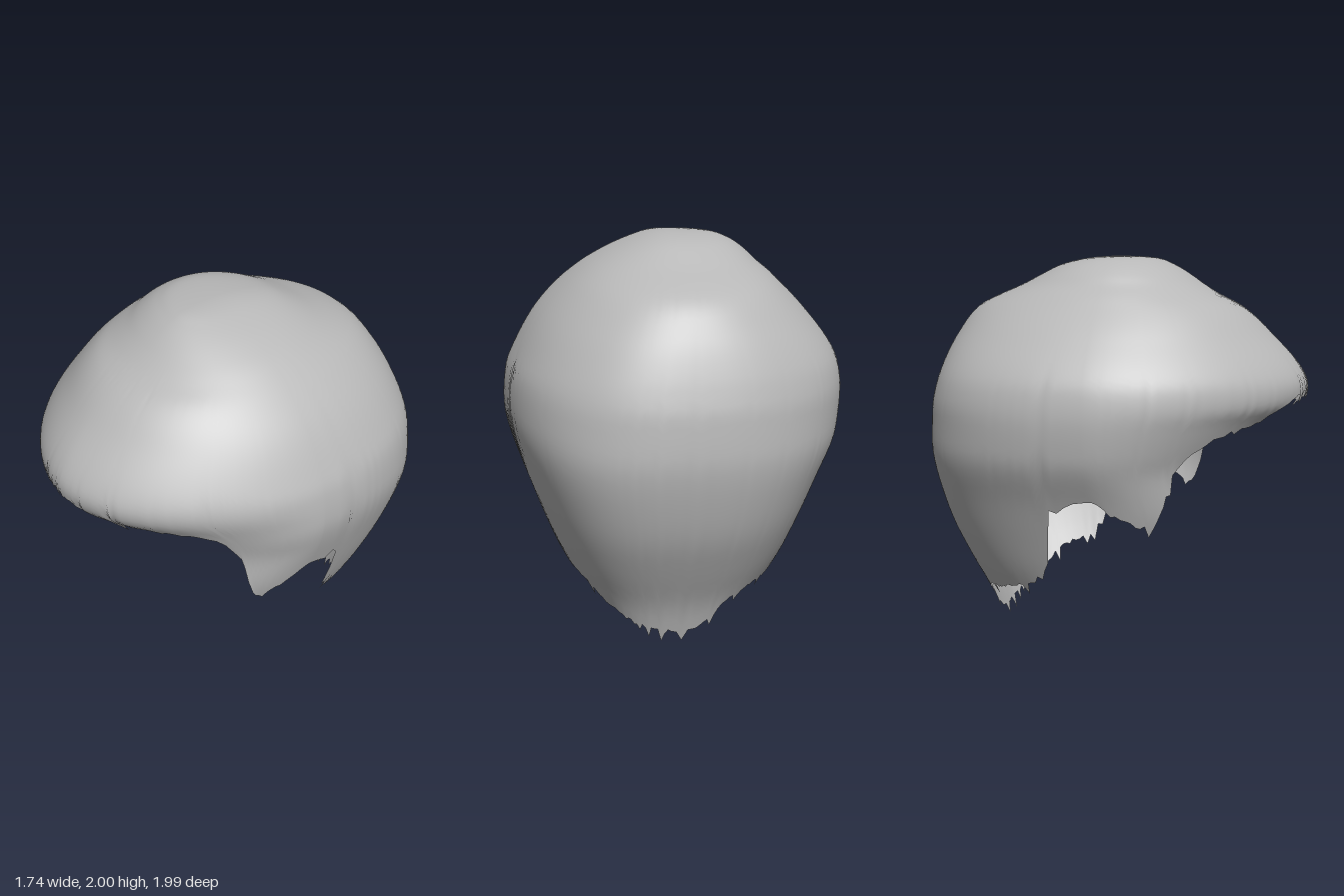
import * as THREE from 'three';

// Cross-sections of the hair: y, reach to -x, to +x, to the front, to the back
const SECTIONS = [
  [2.0, 0, 0, 0, 0], [1.99, 0.21, 0.1, 0.19, 0.15], [1.96, 0.31, 0.2, 0.28, 0.29],
  [1.9, 0.4, 0.34, 0.38, 0.42], [1.85, 0.45, 0.43, 0.45, 0.52], [1.8, 0.51, 0.5, 0.53, 0.64],
  [1.75, 0.56, 0.56, 0.63, 0.74], [1.6, 0.7, 0.7, 0.8, 0.86], [1.4, 0.84, 0.815, 0.97, 0.945],
  [1.33, 0.86, 0.845, 0.99, 0.965], [1.25, 0.87, 0.86, 0.97, 0.985], [1.2, 0.87, 0.865, 0.92, 0.99],
  [1.1, 0.86, 0.865, 0.84, 0.998], [1.0, 0.84, 0.845, 0.77, 1.0],
  [0.8, 0.75, 0.78, 0.7, 0.965], [0.6, 0.67, 0.71, 0.65, 0.905], [0.4, 0.59, 0.63, 0.6, 0.81],
  [0.2, 0.49, 0.53, 0.55, 0.71], [0.0, 0.42, 0.46, 0.5, 0.65],
];

// Height of the lower hairline by angle: -90 is the nape, 0 the left ear, 90 the fringe
const HAIRLINE = [
  [-90, 0.04], [-78, 0.07], [-66, 0.09], [-56, 0.15], [-44, 0.2], [-34, 0.28], [-18, 0.35],
  [-11, 0.46], [-9, 0.62], [-7, 0.79], [-3, 0.83], [3, 0.81], [10, 0.73], [17, 0.69], [23, 0.66],
  [29, 0.8], [34, 0.95], [38, 1.1], [43, 1.16], [52, 1.18], [65, 1.2], [77, 1.23], [90, 1.31],
  [102, 1.3], [112, 1.25], [120, 1.17], [134, 1.12], [141, 1.04], [146, 0.95], [151, 0.8],
  [156, 0.68], [163, 0.69], [172, 0.75], [178, 0.82], [184, 0.82], [187, 0.78], [189, 0.62],
  [191, 0.46], [198, 0.35], [216, 0.29], [240, 0.25], [252, 0.18], [260, 0.08], [270, 0.04],
];

const depth = (y) => Math.sqrt(2 - y);
const shape = new THREE.CubicInterpolant(
  SECTIONS.map((r) => depth(r[0])), SECTIONS.flatMap((r) => r.slice(1)), 4);
const hairline = new THREE.LinearInterpolant(
  HAIRLINE.map((r) => r[0]), HAIRLINE.map((r) => r[1]), 1);

function seeded(seed) {
  return () => {
    seed = (seed * 16807) % 2147483647;
    return seed / 2147483647;
  };
}

const power = (v, e) => Math.sign(v) * Math.pow(Math.abs(v), e);

// Squareness of a cross-section: 2 is an ellipse, less is pointed, more is boxy
function squareness(isFront, isLeft, s) {
  const { smoothstep } = THREE.MathUtils;
  if (!isFront) return 2.15 + (isLeft ? 0.2 : 0.3) * smoothstep(s, 0.5, 0.85) + 0.15 * smoothstep(s, 0.9, 1.1);
  const brow = (isLeft ? 0.2 : 0.22) * smoothstep(s, 0.4, 0.75);
  const under = (isLeft ? 0.18 : 0) * smoothstep(s, 0.8, 0.95);
  return 2 - brow - under + 0.55 * smoothstep(s, 1, 1.15);
}

// Point on the hair at an angle and a depth s below the crown
function hairPoint(phi, s) {
  const [xr, xl, zf, zb] = shape.evaluate(s);
  const c = Math.cos(phi), n = Math.sin(phi);
  const e = 2 / squareness(n > 0, c > 0, s);
  return [
    power(c, e) * (c > 0 ? xl : xr) + 0.07 * n * n * Math.min(1, s * s),
    2 - s * s,
    power(n, e) * (n > 0 ? zf : zb),
  ];
}

function hairGeometry(columns, rows) {
  const random = seeded(71);
  const positions = [...hairPoint(0, 0)];
  const index = [];
  const at = (r, c) => (r === 0 ? 0 : 1 + (r - 1) * columns + (c % columns));

  // Ragged strand ends along the hairline
  const ends = Array.from({ length: columns }, (_, c) => {
    const y = hairline.evaluate(-90 + (c / columns) * 360)[0];
    const strand = random() < 0.3 ? 0.09 * random() : 0.02 * random();
    return depth(Math.max(0, y + 0.02 - strand));
  });
  ends[0] = depth(0);

  for (let r = 1; r <= rows; r++) {
    for (let c = 0; c < columns; c++) {
      const phi = -Math.PI / 2 + (c / columns) * Math.PI * 2;
      positions.push(...hairPoint(phi, ends[c] * (r / rows)));
    }
  }
  for (let r = 0; r < rows; r++) {
    for (let c = 0; c < columns; c++) {
      const a = at(r, c), b = at(r, c + 1), d = at(r + 1, c), e = at(r + 1, c + 1);
      if (r > 0) index.push(a, b, d);
      index.push(b, e, d);
    }
  }
  const geometry = new THREE.BufferGeometry();
  geometry.setAttribute('position', new THREE.Float32BufferAttribute(positions, 3));
  geometry.setIndex(index);
  geometry.computeVertexNormals();
  return geometry;
}

export function createModel() {
  const group = new THREE.Group();
  group.name = 'hairpiece';
  const hairGrey = new THREE.MeshStandardMaterial({ color: 0xb8b8b8, side: THREE.DoubleSide });
  hairGrey.name = 'hair grey';

  // Open shell of hair with fringe, sideburns, ear cut-outs and nape
  const hair = new THREE.Mesh(hairGeometry(200, 56), hairGrey);
  hair.name = 'hairShell';
  group.add(hair);
  return group;
}
